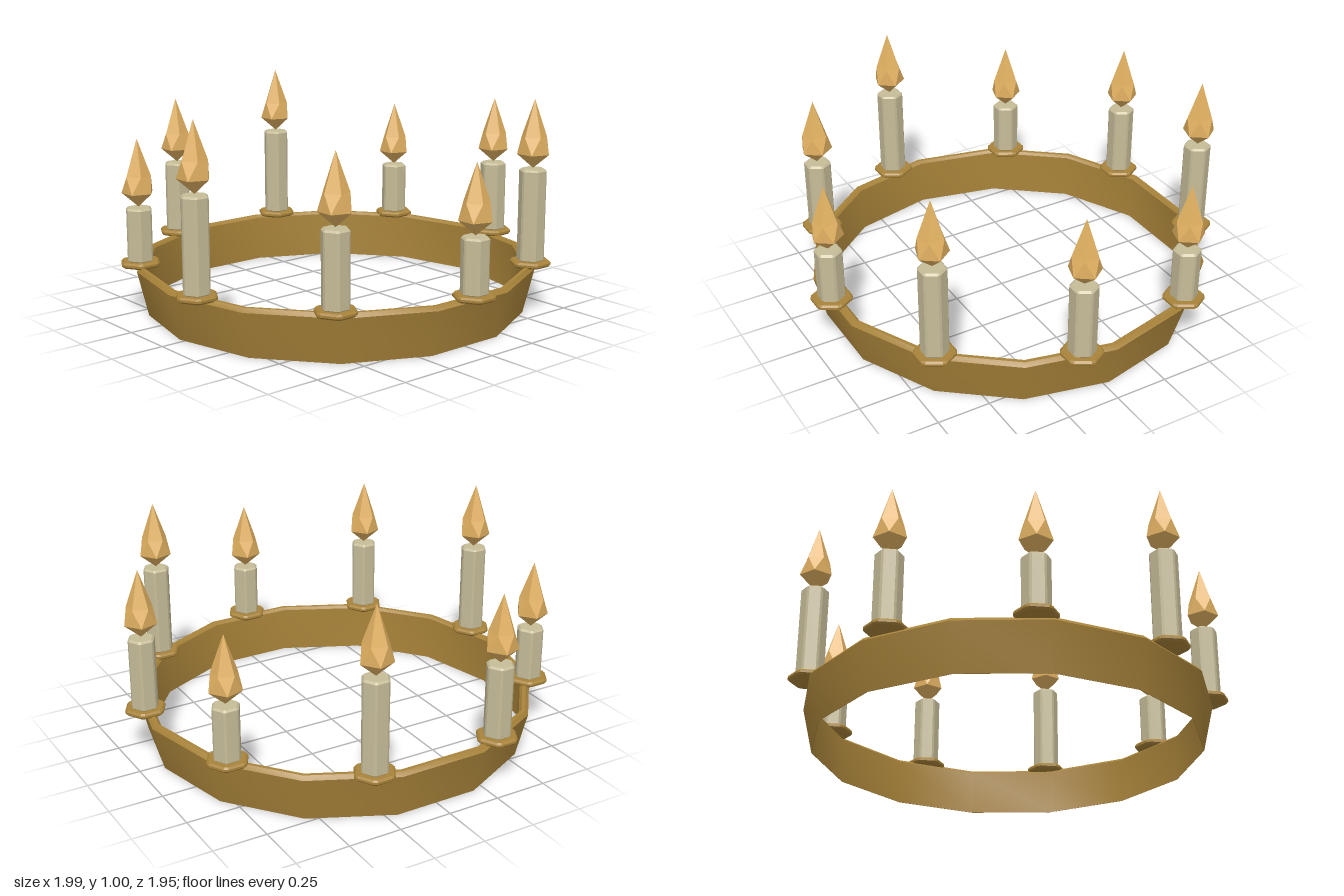
import * as THREE from 'three';
import { toCreasedNormals } from 'three/addons/utils/BufferGeometryUtils.js';

const brass = new THREE.MeshStandardMaterial({ color: 0xa88339 });
brass.name = 'brass';
const wax = new THREE.MeshStandardMaterial({ color: 0xc6bc98 });
wax.name = 'wax';
const fire = new THREE.MeshStandardMaterial({ color: 0xe2b161 });
fire.name = 'fire';

const CENTER_Z = -0.028;

// Upright hexagonal prism with corners on the x axis and every edge bevelled
function bevelledHex(radius, height, cut, bevel) {
  const corner = i => new THREE.Vector2(Math.cos(i * Math.PI / 3), Math.sin(i * Math.PI / 3)).multiplyScalar(radius);
  const points = [];
  for (let i = 0; i < 6; i++) {
    points.push(corner(i).lerp(corner(i - 1), cut / radius));
    points.push(corner(i).lerp(corner(i + 1), cut / radius));
  }
  const geometry = new THREE.ExtrudeGeometry(new THREE.Shape(points), {
    depth: height - 2 * bevel, bevelEnabled: true, bevelSegments: 1,
    bevelSize: bevel, bevelThickness: bevel, bevelOffset: -bevel,
  });
  return geometry.translate(0, 0, bevel).rotateX(-Math.PI / 2);
}

// Faceted flame: two staggered rings of five between a top and a bottom point
function flameGeometry() {
  const low = [], high = [];
  for (let i = 0; i < 5; i++) {
    const a = i * Math.PI * 2 / 5, b = a + Math.PI / 5;
    low.push([0.076 * Math.cos(a), 0.066, -0.076 * Math.sin(a)]);
    high.push([0.06 * Math.cos(b), 0.145, -0.06 * Math.sin(b)]);
  }
  const tip = [0, 0.317, 0], base = [0, 0, 0], corners = [];
  for (let i = 0; i < 5; i++) {
    const j = (i + 1) % 5;
    corners.push(base, low[j], low[i]);
    corners.push(low[i], low[j], high[i]);
    corners.push(low[j], high[j], high[i]);
    corners.push(high[i], high[j], tip);
  }
  const geometry = new THREE.BufferGeometry();
  geometry.setAttribute('position', new THREE.Float32BufferAttribute(corners.flat(), 3));
  geometry.computeVertexNormals();
  return geometry;
}

function addMesh(parent, name, geometry, material, y = 0) {
  const mesh = new THREE.Mesh(geometry, material);
  mesh.name = name;
  mesh.position.y = y;
  parent.add(mesh);
  return mesh;
}

export function createModel() {
  const model = new THREE.Group();
  model.name = 'candleRing';

  // Fourteen-sided hoop, flared outwards, with a bevelled rim
  const profile = [
    [0.89, 0], [0.94, 0.212], [0.925, 0.23], [0.908, 0.23], [0.896, 0.218], [0.888, 0], [0.89, 0],
  ].map(p => new THREE.Vector2(...p));
  const hoop = new THREE.LatheGeometry(profile, 14, Math.PI / 14);
  addMesh(model, 'hoop', toCreasedNormals(hoop, 0.55), brass).position.z = CENTER_Z;

  // Nine candles in three repeating heights, each on a drip plate
  const tops = [0.5, 0.68, 0.59];
  const plate = bevelledHex(0.1, 0.026, 0.012, 0.008);
  const candles = tops.map(top => bevelledHex(0.066, top - 0.245, 0.007, 0.009));
  const flame = flameGeometry();
  for (let i = 0; i < 9; i++) {
    const angle = i * Math.PI * 2 / 9;
    const holder = new THREE.Group();
    holder.name = 'candleHolder';
    holder.position.set(0.917 * Math.sin(angle), 0, 0.917 * Math.cos(angle) + CENTER_Z);
    addMesh(holder, 'dripPlate', plate, brass, 0.224);
    addMesh(holder, 'candle', candles[i % 3], wax, 0.245);
    addMesh(holder, 'flame', flame, fire, tops[i % 3] + 0.003);
    model.add(holder);
  }
  return model;
}
